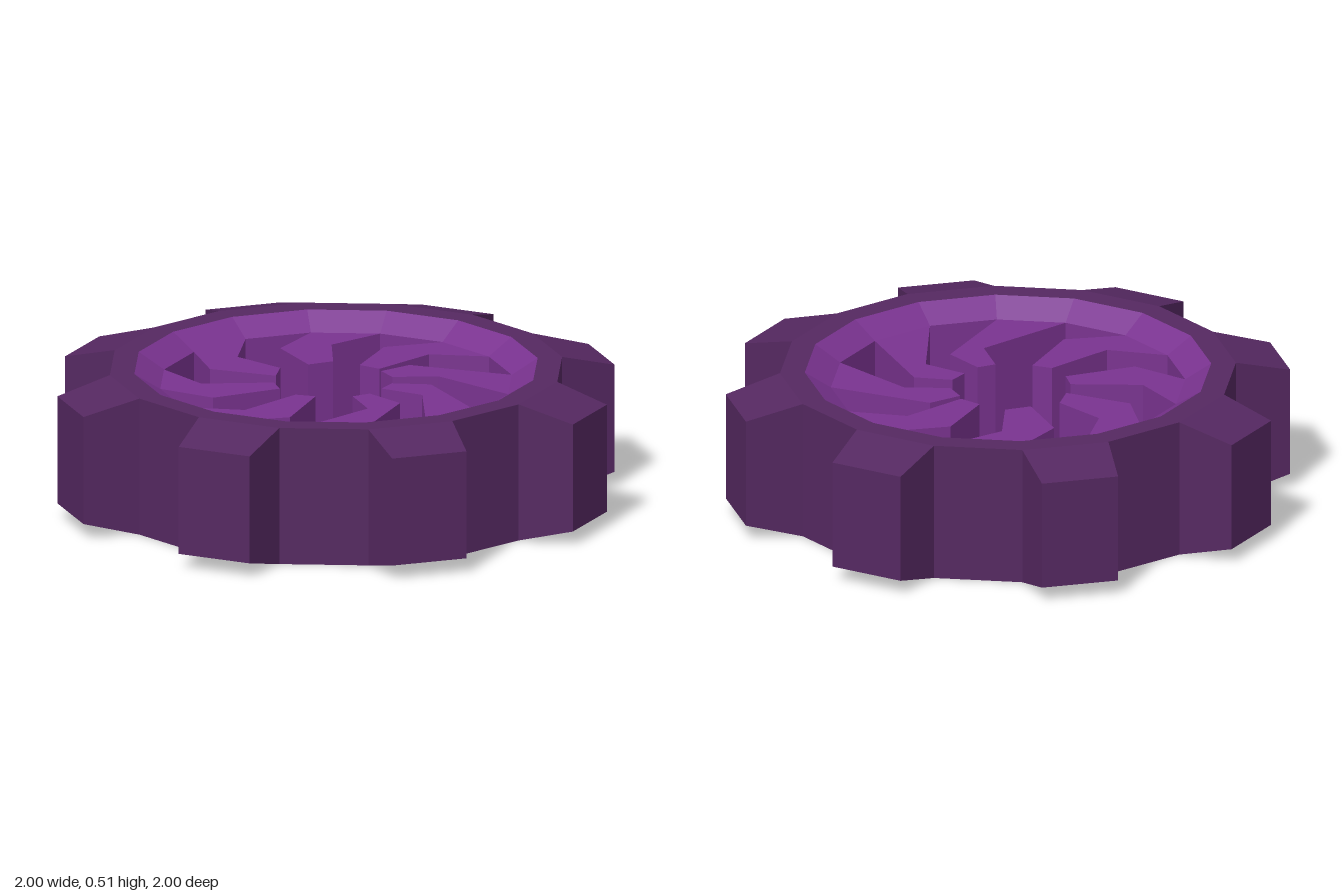
import * as THREE from 'three';
import { ConvexGeometry } from 'three/addons/geometries/ConvexGeometry.js';

const HEIGHT = 0.515, BEVEL = 0.06;
const STEP = Math.PI / 8, HALF = STEP / 2;
const OUTER = 0.83, RIM = 0.74, BORE = 0.645;

// Inner corners (x, z) of each bent blade, clockwise from the back
const BLADES = [
  [[-0.05, -0.48], [-0.03, -0.27], [-0.11, -0.205], [-0.23, -0.43]],
  [[0.31, -0.37], [0.17, -0.205], [0.075, -0.235], [0.14, -0.46]],
  [[0.49, -0.04], [0.23, -0.02], [0.21, -0.105], [0.43, -0.22]],
  [[0.325, 0.195], [0.195, 0.09], [0.215, 0.005], [0.345, 0.015]],
  [[0.12, 0.335], [0.065, 0.175], [0.14, 0.15], [0.235, 0.255]],
  [[-0.145, 0.335], [-0.08, 0.18], [-0.01, 0.195], [-0.01, 0.36]],
  [[-0.49, 0.05], [-0.22, 0.025], [-0.18, 0.09], [-0.43, 0.23]],
  [[-0.38, -0.31], [-0.175, -0.145], [-0.21, -0.07], [-0.47, -0.145]],
];

// Sixteen-sided ring surface from a radius/height profile
function ringSurface(profile) {
  return new THREE.LatheGeometry(profile.map(([r, y]) => new THREE.Vector2(r, y)), 16, HALF);
}

// Tooth tapering in height towards its tip, centred on +z
function toothGeometry() {
  const corners = [];
  const baseX = OUTER * Math.sin(HALF), baseZ = OUTER * Math.cos(HALF);
  for (const s of [-1, 1]) {
    for (const y of [0, HEIGHT]) corners.push(new THREE.Vector3(s * baseX, y, baseZ));
    for (const y of [BEVEL - 0.005, HEIGHT - BEVEL + 0.005]) {
      corners.push(new THREE.Vector3(s * 0.143, y, 1.023));
    }
  }
  return new ConvexGeometry(corners);
}

// Upright blade growing from one facet of the bore
function bladeGeometry(inner, index) {
  const root = [-HALF, HALF].map((d) => {
    const a = index * STEP * 2 + d;
    return [BORE * Math.sin(a), -BORE * Math.cos(a)];
  });
  const shape = new THREE.Shape([...root, ...inner].map(([x, z]) => new THREE.Vector2(x, -z)));
  const geometry = new THREE.ExtrudeGeometry(shape, { depth: HEIGHT - 2 * BEVEL, bevelEnabled: false });
  return geometry.rotateX(-Math.PI / 2).translate(0, BEVEL, 0);
}

export function createModel() {
  const model = new THREE.Group();
  model.name = 'gearWheel';
  const darkPurple = new THREE.MeshStandardMaterial({ color: 0x552861, flatShading: true });
  darkPurple.name = 'darkPurple';
  const brightPurple = new THREE.MeshStandardMaterial({ color: 0x7a3390, flatShading: true });
  brightPurple.name = 'brightPurple';

  function add(name, geometry, material) {
    const mesh = new THREE.Mesh(geometry, material);
    mesh.name = name;
    model.add(mesh);
    return mesh;
  }

  // Outer body and bevelled inner lining
  add('outerRing', ringSurface([[RIM, 0], [OUTER, 0], [OUTER, HEIGHT], [RIM, HEIGHT]]), darkPurple);
  add('innerLining', ringSurface([
    [RIM, HEIGHT], [BORE, HEIGHT - BEVEL], [BORE, BEVEL], [RIM, 0],
  ]), brightPurple);

  // Teeth on every other facet
  const tooth = toothGeometry();
  for (let i = 0; i < 8; i++) {
    add('tooth' + (i + 1), tooth, darkPurple).rotation.y = STEP * (2 * i + 1);
  }

  // Bent blades around the open centre
  BLADES.forEach((inner, i) => add('blade' + (i + 1), bladeGeometry(inner, i), brightPurple));

  return model;
}
